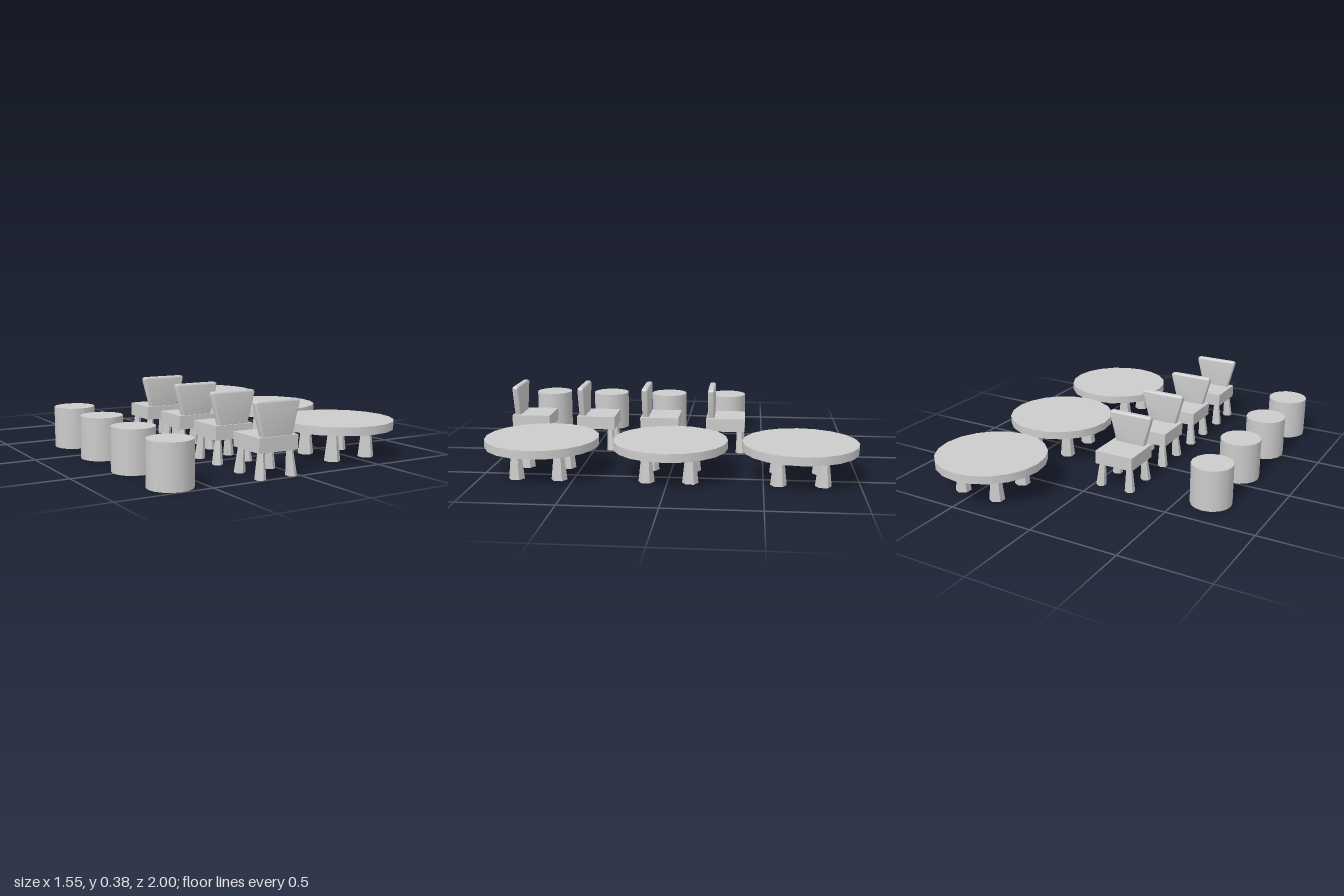
import * as THREE from 'three';
import { toCreasedNormals } from 'three/addons/utils/BufferGeometryUtils.js';

const smooth = new THREE.MeshStandardMaterial({ color: 0xcccccc });
const flat = new THREE.MeshStandardMaterial({ color: 0xcccccc, flatShading: true });

function addMesh(parent, name, geometry, material, x = 0, y = 0, z = 0) {
  const mesh = new THREE.Mesh(geometry, material);
  mesh.name = name;
  mesh.position.set(x, y, z);
  parent.add(mesh);
  return mesh;
}

// Six-sided tapered leg standing on y = 0; its top is shifted by (dx, dz)
function legGeometry(topRadius, footRadius, height, dx = 0, dz = 0) {
  const g = new THREE.CylinderGeometry(topRadius, footRadius, height, 6);
  g.translate(0, height / 2, 0);
  const p = g.attributes.position;
  for (let i = 0; i < p.count; i++) {
    const t = p.getY(i) / height;
    p.setX(i, p.getX(i) + dx * t);
    p.setZ(i, p.getZ(i) + dz * t);
  }
  g.computeVertexNormals();
  return g;
}

function fourLegs(parent, name, offset, makeGeometry) {
  for (const sx of [-1, 1]) {
    for (const sz of [-1, 1]) {
      addMesh(parent, name, makeGeometry(sx, sz), flat, sx * offset, 0, sz * offset);
    }
  }
}

function createStool() {
  const stool = new THREE.Group();
  stool.name = 'stool';
  addMesh(stool, 'stoolDrum', new THREE.CylinderGeometry(0.114, 0.114, 0.23, 16), smooth, 0, 0.115, 0);
  return stool;
}

// Flared backrest with softly rounded edges
function backrestGeometry() {
  const bevel = 0.01;
  const shape = new THREE.Shape();
  shape.moveTo(-0.077, 0.2);
  shape.lineTo(0.077, 0.2);
  shape.lineTo(0.12, 0.362);
  shape.quadraticCurveTo(0.122, 0.37, 0.114, 0.37);
  shape.lineTo(-0.114, 0.37);
  shape.quadraticCurveTo(-0.122, 0.37, -0.12, 0.362);
  shape.closePath();
  const g = new THREE.ExtrudeGeometry(shape, {
    depth: 0.018, bevelEnabled: true, bevelSize: bevel, bevelThickness: bevel,
    bevelSegments: 3, curveSegments: 3,
  });
  g.translate(0, 0, -0.009);
  return toCreasedNormals(g, 0.7);
}

function createChair() {
  const chair = new THREE.Group();
  chair.name = 'chair';
  addMesh(chair, 'seat', new THREE.BoxGeometry(0.228, 0.075, 0.226), flat, 0, 0.1675, 0);
  addMesh(chair, 'backrest', backrestGeometry(), smooth, 0, 0, 0.085);
  fourLegs(chair, 'chairLeg', 0.091, (sx, sz) => legGeometry(0.017, 0.029, 0.135, -sx * 0.007, -sz * 0.007));
  return chair;
}

function createTable() {
  const table = new THREE.Group();
  table.name = 'table';
  const top = new THREE.CylinderGeometry(0.307, 0.307, 0.045, 20);
  addMesh(table, 'tableTop', top, smooth, 0, 0.1805, 0);
  fourLegs(table, 'tableLeg', 0.115, () => legGeometry(0.025, 0.043, 0.162));
  return table;
}

export function createModel() {
  const model = new THREE.Group();
  model.name = 'seatingSet';
  const addRow = (create, x, zs) => {
    for (const z of zs) {
      const item = create();
      item.position.set(x, 0, z);
      model.add(item);
    }
  };
  addRow(createStool, -0.661, [-0.276, 0.11, 0.498, 0.883]);
  addRow(createChair, -0.129, [-0.282, 0.108, 0.488, 0.879]);
  addRow(createTable, 0.467, [-0.693, -0.005, 0.69]);
  return model;
}
